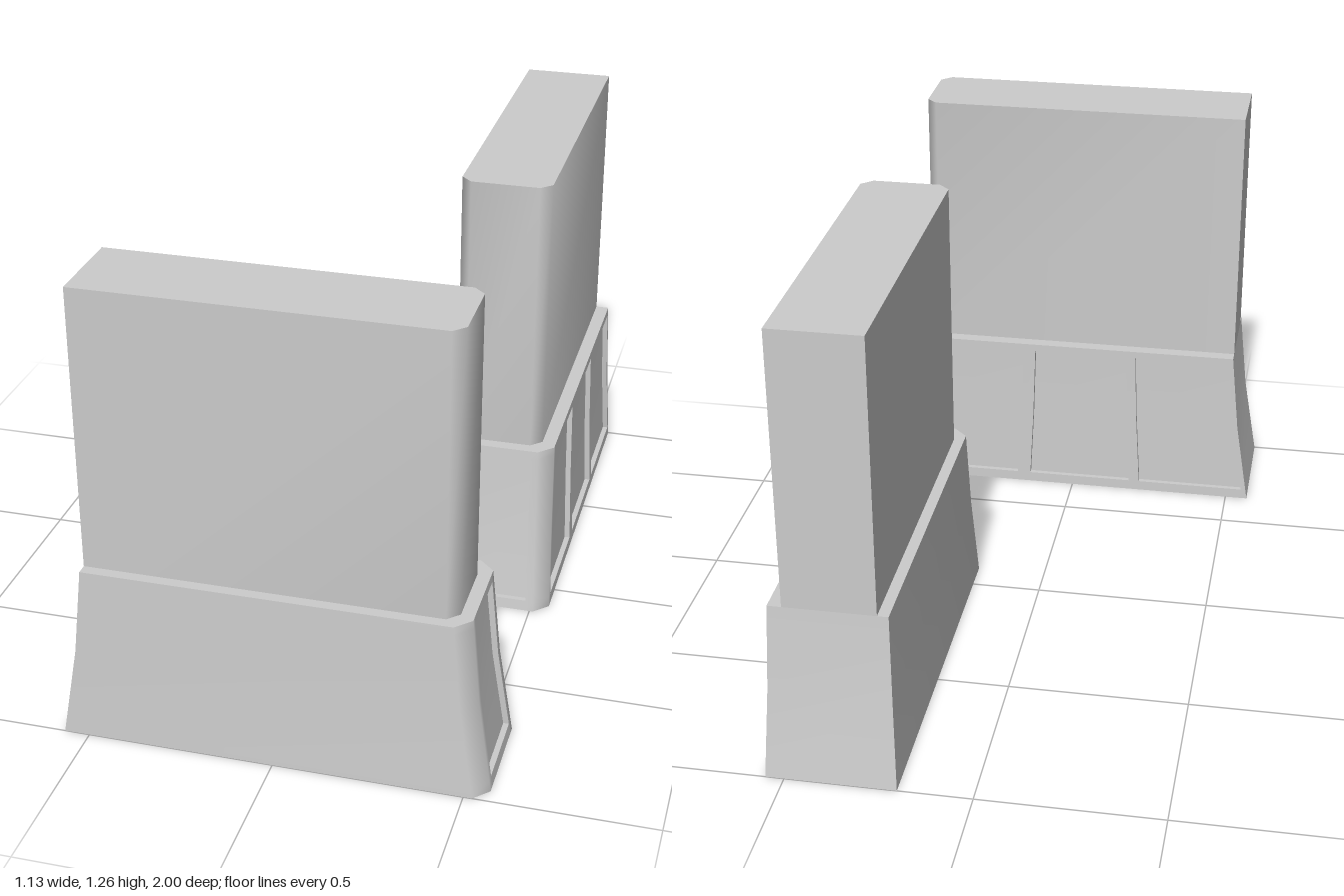
import * as THREE from 'three';
import { toCreasedNormals } from 'three/addons/utils/BufferGeometryUtils.js';

const BASE_TOP = 0.487, TOP = 1.26, RECESS = 0.015;
const LEVELS = [0, 0.03, 0.25, 0.465, BASE_TOP];

// Outline of a wall with its two front (+z) corners cut, counterclockwise from above
function outline(x0, x1, z0, z1, cut) {
  return [[x0, z0], [x0, z1 - cut], [x0 + cut, z1], [x1 - cut, z1], [x1, z1 - cut], [x1, z0]];
}

// The base flares outwards towards the ground in a hollow curve
function baseOutline(y) {
  const f = y < 0.25 ? 1 - 0.63 * y / 0.25 : 0.37 * (BASE_TOP - y) / (BASE_TOP - 0.25);
  return outline(0.22 - 0.02 * f, 0.535 + 0.015 * f, -0.935 - 0.065 * f, 0.07 + 0.06 * f, 0.04);
}

const bodyOutline = () => outline(0.25, 0.497, -0.935, 0.035, 0.03);

// Skin over stacked outlines; panels: { sideIndex: { spans, inward } } for recessed panels
function buildWall(section, levels, panels, withBottom) {
  const pos = [];
  const tri = (...pts) => pts.forEach(p => pos.push(...p));
  const quad = (a, b, c, d) => { tri(a, b, c); tri(a, c, d); };
  const rings = levels.map(section);
  const n = rings[0].length;

  for (let i = 0; i < n; i++) {
    const panel = panels[i];
    const at = (t, k, deep) => {
      const a = rings[k][i], b = rings[k][(i + 1) % n];
      const dx = deep ? panel.inward[0] * RECESS : 0, dz = deep ? panel.inward[1] * RECESS : 0;
      return [a[0] + (b[0] - a[0]) * t + dx, levels[k], a[1] + (b[1] - a[1]) * t + dz];
    };
    const ts = panel ? [0, ...panel.spans.flat(), 1] : [0, 1];
    for (let c = 0; c < ts.length - 1; c++) {
      const t0 = ts[c], t1 = ts[c + 1];
      for (let k = 0; k < levels.length - 1; k++) {
        const deep = c % 2 === 1 && k > 0 && k < levels.length - 2;
        quad(at(t0, k, deep), at(t1, k, deep), at(t1, k + 1, deep), at(t0, k + 1, deep));
        if (!deep) continue;
        // Rims of the recess
        quad(at(t0, k), at(t0, k, true), at(t0, k + 1, true), at(t0, k + 1));
        quad(at(t1, k, true), at(t1, k), at(t1, k + 1), at(t1, k + 1, true));
        if (k === 1) quad(at(t0, k), at(t1, k), at(t1, k, true), at(t0, k, true));
        if (k === levels.length - 3) {
          quad(at(t0, k + 1, true), at(t1, k + 1, true), at(t1, k + 1), at(t0, k + 1));
        }
      }
    }
  }

  // Flat caps
  const cap = (k, up) => {
    const p = rings[k].map(([x, z]) => [x, levels[k], z]);
    for (let i = 1; i < n - 1; i++) up ? tri(p[0], p[i], p[i + 1]) : tri(p[0], p[i + 1], p[i]);
  };
  cap(levels.length - 1, true);
  if (withBottom) cap(0, false);

  const geometry = new THREE.BufferGeometry();
  geometry.setAttribute('position', new THREE.Float32BufferAttribute(pos, 3));
  return toCreasedNormals(geometry, 0.9);
}

export function createModel() {
  const model = new THREE.Group();
  model.name = 'gatewayWalls';
  const material = new THREE.MeshStandardMaterial({ color: 0xcccccc });

  // One panel on the front end, three along the +x side
  const panels = {
    2: { spans: [[0.08, 0.92]], inward: [0, -1] },
    4: { spans: [[0.015, 0.312], [0.35, 0.65], [0.68, 0.986]], inward: [-1, 0] },
  };
  const baseGeometry = buildWall(baseOutline, LEVELS, panels, true);
  const bodyGeometry = buildWall(bodyOutline, [BASE_TOP, TOP], {}, false);

  function addPier(name) {
    const pier = new THREE.Group();
    pier.name = name;
    const base = new THREE.Mesh(baseGeometry, material);
    base.name = 'panelledBase';
    const body = new THREE.Mesh(bodyGeometry, material);
    body.name = 'upperWall';
    pier.add(base, body);
    model.add(pier);
    return pier;
  }

  addPier('rearPier');
  // The front pier is the same wall turned a quarter
  const front = addPier('frontPier');
  front.rotation.y = Math.PI / 2;
  front.position.set(0.432, 0, 1.2);
  return model;
}
